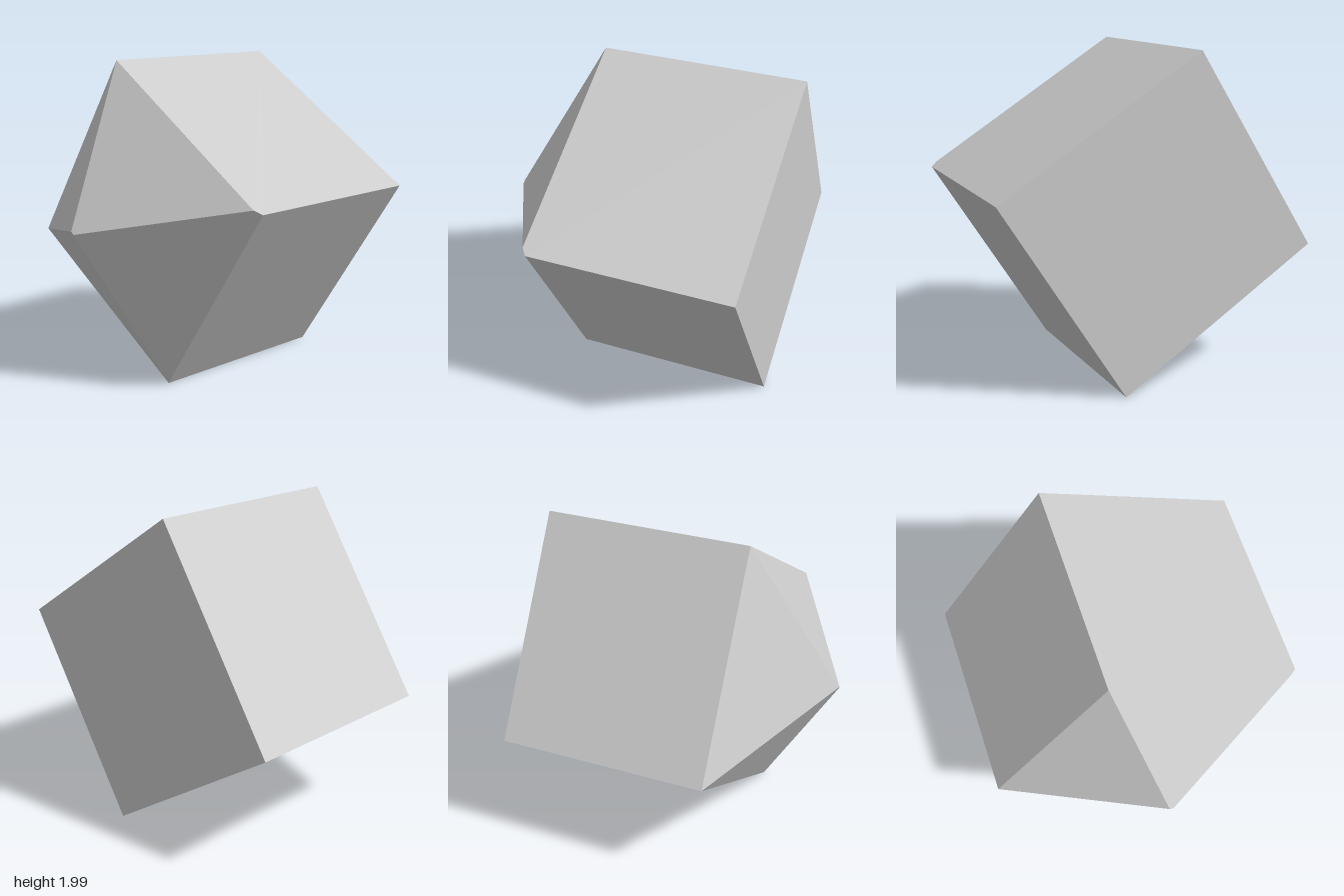
import * as THREE from 'three';

// Corners of the tilted square section, the back plane and the slightly uneven tip
const BACK = -0.91;
const corners = {
  top: [-0.23, 1.99, 0.38],
  left: [-1, 0.79, 0.385],
  bottom: [0.23, 0, 0.37],
  right: [1, 1.205, 0.355],
  bevel: [0.96, 1.23, 0.39],
  tipA: [-0.025, 1.022, 0.91],
  tipB: [0, 1.007, 0.91],
};
for (const name of ['top', 'left', 'bottom', 'right']) {
  const [x, y] = corners[name];
  corners[name + 'Back'] = [x, y, BACK];
}

// Flat-shaded mesh from polygons given as counter-clockwise corner names
function facetMesh(name, polygons) {
  const positions = [];
  for (const polygon of polygons) {
    const p = polygon.split(' ').map((key) => corners[key]);
    for (let i = 1; i < p.length - 1; i++) positions.push(...p[0], ...p[i], ...p[i + 1]);
  }
  const geometry = new THREE.BufferGeometry();
  geometry.setAttribute('position', new THREE.Float32BufferAttribute(positions, 3));
  geometry.computeVertexNormals();
  const material = new THREE.MeshStandardMaterial({ color: 0xcccccc, flatShading: true });
  const mesh = new THREE.Mesh(geometry, material);
  mesh.name = name;
  return mesh;
}

export function createModel() {
  const group = new THREE.Group();
  group.name = 'pointedPrism';

  // Square prism: four long sides and the flat back
  group.add(facetMesh('prismBody', [
    'left top topBack leftBack',
    'bottom left leftBack bottomBack',
    'right bottom bottomBack rightBack',
    'topBack top bevel right rightBack',
    'topBack rightBack bottomBack leftBack',
  ]));

  // Four-sided point whose facets meet in a tiny ridge
  group.add(facetMesh('pyramidTip', [
    'top left tipA',
    'left bottom tipB tipA',
    'bottom right bevel tipB',
    'top tipA tipB bevel',
  ]));
  return group;
}
